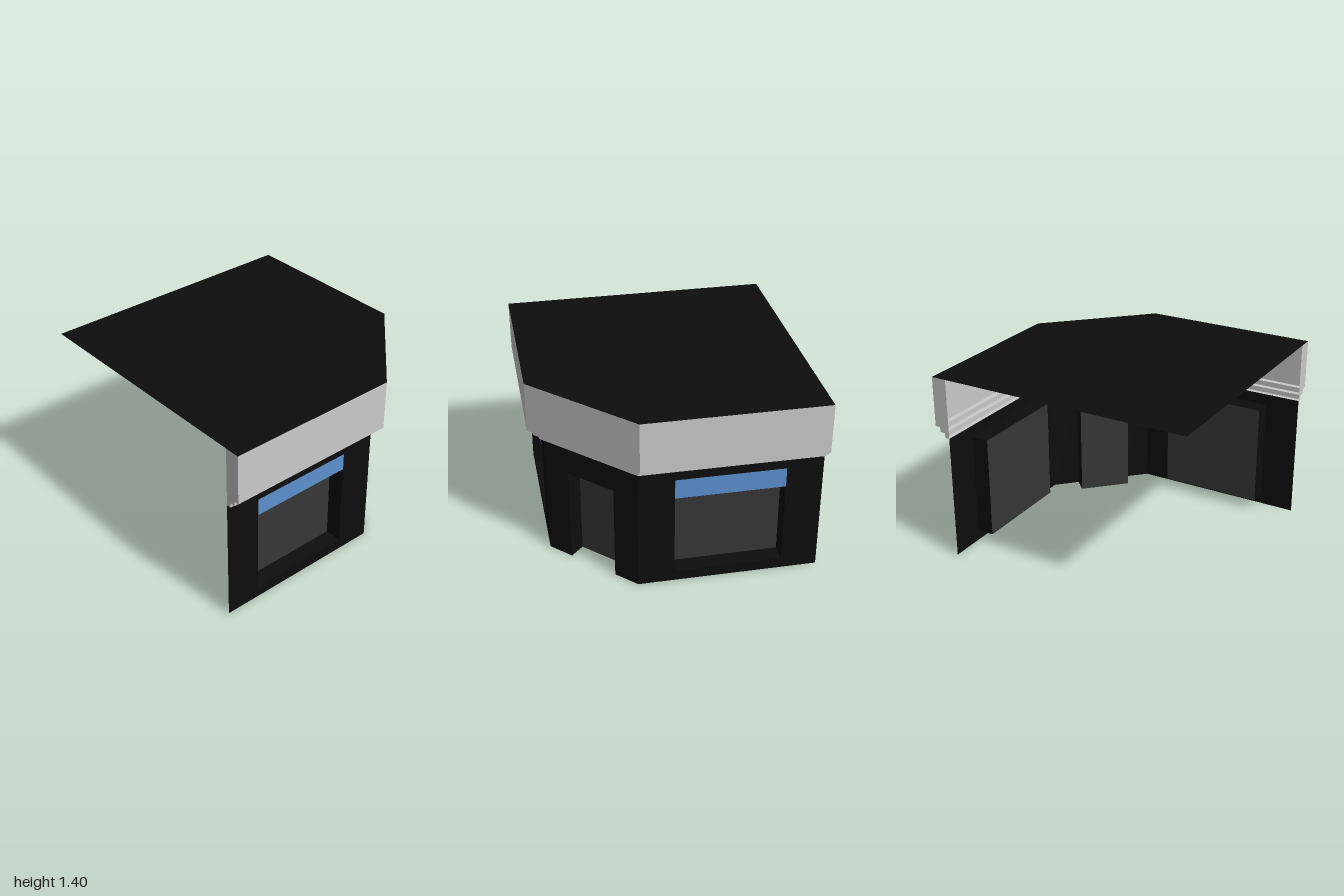
import * as THREE from 'three';

const WALL = 0.885;    // distance of the walls from the centre
const CORNER = 0.318;  // where the cut corner begins
const WALL_TOP = 0.95, ROOF = 1.4, DEPTH = 0.13;

function material(name, color) {
  const m = new THREE.MeshStandardMaterial({ color, side: THREE.DoubleSide });
  m.name = name;
  return m;
}

function addMesh(parent, name, geometry, mat) {
  const mesh = new THREE.Mesh(geometry, mat);
  mesh.name = name;
  parent.add(mesh);
  return mesh;
}

const polygon = (points) => new THREE.Shape(points.map(([x, y]) => new THREE.Vector2(x, y)));

export function createModel() {
  const model = new THREE.Group();
  model.name = 'cornerShop';
  const black = material('blackWall', 0x0d0d0d);
  const grey = material('lightGreyFascia', 0xcacaca);
  const glass = material('darkGlass', 0x363636);
  const blue = material('blueSign', 0x5c91ce);

  // Flat rectangle in the local wall plane, z measured outward
  function panel(parent, name, x0, x1, y0, y1, z, mat) {
    const mesh = addMesh(parent, name, new THREE.PlaneGeometry(x1 - x0, y1 - y0), mat);
    mesh.position.set((x0 + x1) / 2, (y0 + y1) / 2, z);
  }

  // Reveals and pane set back behind an opening
  function recess(parent, name, x0, x1, y0, y1) {
    for (const x of [x0, x1]) {
      const side = addMesh(parent, name + 'SideReveal', new THREE.PlaneGeometry(DEPTH, y1 - y0), black);
      side.rotation.y = x === x0 ? Math.PI / 2 : -Math.PI / 2;
      side.position.set(x, (y0 + y1) / 2, -DEPTH / 2);
    }
    for (const y of y0 > 0 ? [y0, y1] : [y1]) {
      const flat = addMesh(parent, name + 'FlatReveal', new THREE.PlaneGeometry(x1 - x0, DEPTH), black);
      flat.rotation.x = y === y1 ? Math.PI / 2 : -Math.PI / 2;
      flat.position.set((x0 + x1) / 2, y, -DEPTH / 2);
    }
    panel(parent, name + 'Pane', x0, x1, y0, y1, -DEPTH, glass);
  }

  // Shop window wall with a blue sign across the top of the opening
  function windowWall(name, x0, x1, w0, w1, signBottom) {
    const wall = new THREE.Group();
    wall.name = name;
    const shape = polygon([[x0, 0], [x1, 0], [x1, WALL_TOP], [x0, WALL_TOP]]);
    shape.holes.push(polygon([[w0, 0.08], [w0, 0.86], [w1, 0.86], [w1, 0.08]]));
    addMesh(wall, name + 'Surface', new THREE.ShapeGeometry(shape), black);
    recess(wall, 'window', w0, w1, 0.08, 0.86);
    panel(wall, 'sign', w0, w1, signBottom, 0.86, 0.002, blue);
    model.add(wall);
    return wall;
  }

  windowWall('frontWall', -1, CORNER, -0.735, 0.055, 0.73).position.z = WALL;
  const leftWall = windowWall('leftWall', -CORNER, 1, -0.055, 0.735, 0.71);
  leftWall.rotation.y = Math.PI / 2;
  leftWall.position.x = WALL;

  // Cut corner with the doorway
  const doorWall = new THREE.Group();
  doorWall.name = 'doorWall';
  const half = (WALL - CORNER) / Math.SQRT2, door = 0.198, doorTop = 0.73;
  addMesh(doorWall, 'doorWallSurface', new THREE.ShapeGeometry(polygon([
    [-half, 0], [-door, 0], [-door, doorTop], [door, doorTop],
    [door, 0], [half, 0], [half, WALL_TOP], [-half, WALL_TOP],
  ])), black);
  recess(doorWall, 'door', -door, door, 0, doorTop);
  doorWall.rotation.y = Math.PI / 4;
  doorWall.position.set((WALL + CORNER) / 2, 0, (WALL + CORNER) / 2);
  model.add(doorWall);

  // Stepped fascia swept around the front, the cut corner and the left side
  const profile = [[1, ROOF], [1, 1.025], [0.96, 1.025], [0.96, 0.987],
    [0.92, 0.987], [0.92, WALL_TOP], [WALL, WALL_TOP]];
  const outline = (d) => [[-1, d], [CORNER, d], [d, CORNER], [d, -1]];
  const positions = [];
  for (let i = 0; i < profile.length - 1; i++) {
    const [upper, lower] = [profile[i], profile[i + 1]].map(([d, y]) =>
      outline(d).map(([x, z]) => [x, y, z]));
    for (let j = 0; j < 3; j++) {
      const corners = [upper[j], lower[j], lower[j + 1], upper[j], lower[j + 1], upper[j + 1]];
      positions.push(...corners.flat());
    }
  }
  const fasciaGeometry = new THREE.BufferGeometry();
  fasciaGeometry.setAttribute('position', new THREE.Float32BufferAttribute(positions, 3));
  fasciaGeometry.computeVertexNormals();
  addMesh(model, 'fascia', fasciaGeometry, grey);

  // Closed ends of the fascia
  const endGeometry = new THREE.ShapeGeometry(polygon([...profile, [WALL, ROOF]]));
  addMesh(model, 'fasciaBackEnd', endGeometry, grey).position.z = -1;
  const sideEnd = addMesh(model, 'fasciaSideEnd', endGeometry, grey);
  sideEnd.rotation.y = -Math.PI / 2;
  sideEnd.position.x = -1;

  // Flat roof sheet
  const roof = addMesh(model, 'roof', new THREE.ShapeGeometry(polygon(
    [...outline(1), [-1, -1]].map(([x, z]) => [x, -z]))), black);
  roof.rotation.x = -Math.PI / 2;
  roof.position.y = ROOF;

  return model;
}
